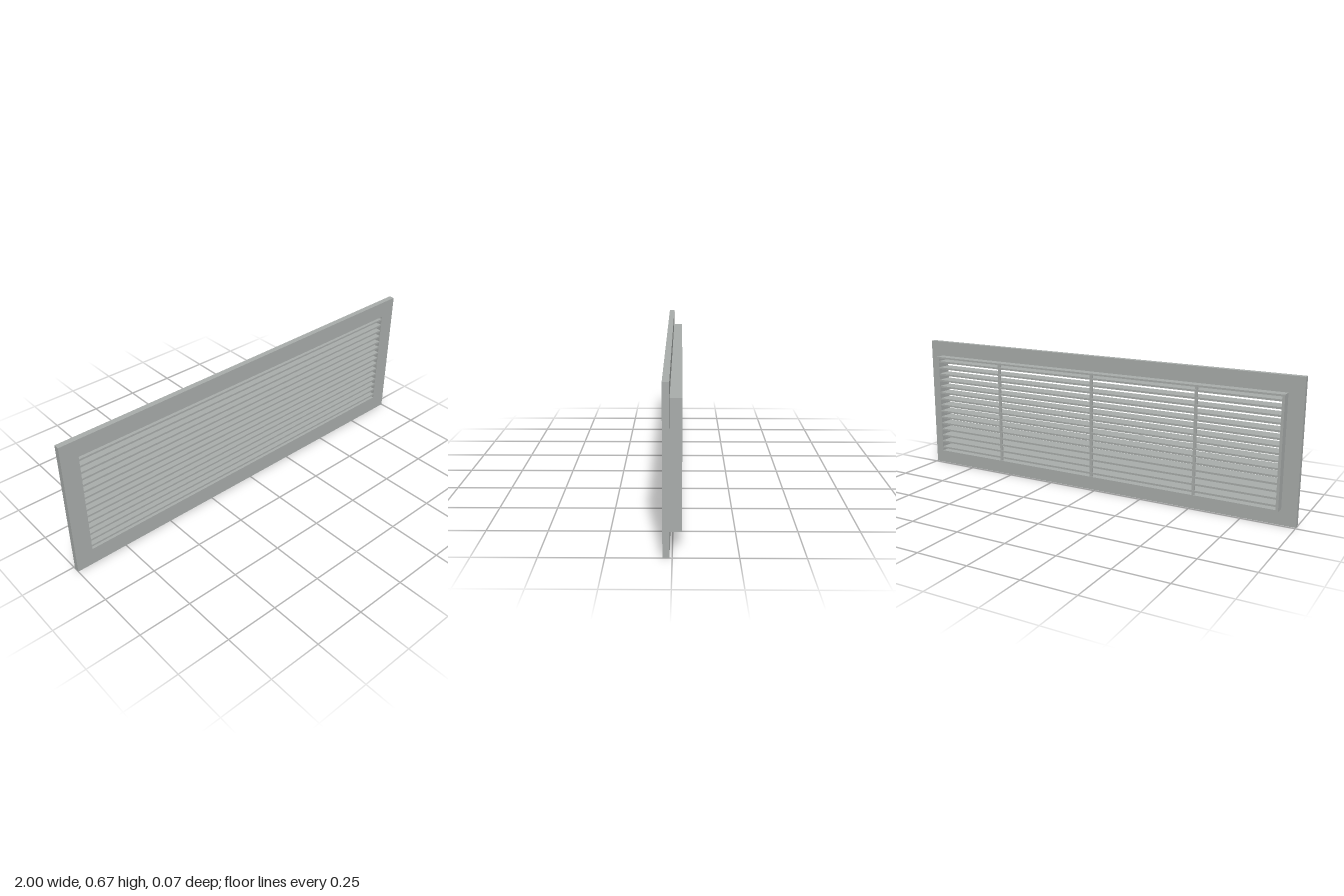
import * as THREE from 'three';

const MID_Y = 0.3335;

// Rectangular ring with an opening, extruded from zBack to zFront
function ring(w, h, openW, openH, zBack, zFront, material, name) {
  const rect = (target, a, b) => {
    target.moveTo(-a / 2, -b / 2);
    target.lineTo(a / 2, -b / 2);
    target.lineTo(a / 2, b / 2);
    target.lineTo(-a / 2, b / 2);
    target.closePath();
    return target;
  };
  const shape = rect(new THREE.Shape(), w, h);
  shape.holes.push(rect(new THREE.Path(), openW, openH));
  const geometry = new THREE.ExtrudeGeometry(shape, { depth: zFront - zBack, bevelEnabled: false });
  geometry.translate(0, MID_Y, zBack);
  const mesh = new THREE.Mesh(geometry, material);
  mesh.name = name;
  return mesh;
}

function bar(w, h, x, y, zBack, zFront, material, name) {
  const mesh = new THREE.Mesh(new THREE.BoxGeometry(w, h, zFront - zBack), material);
  mesh.position.set(x, y, (zBack + zFront) / 2);
  mesh.name = name;
  return mesh;
}

export function createModel() {
  const grille = new THREE.Group();
  grille.name = 'ventGrille';
  const metal = new THREE.MeshStandardMaterial({ color: 0xa9adab });
  metal.name = 'greyMetal';

  const openW = 1.836, openH = 0.502;

  // Wide front flange and the narrower collar behind it
  grille.add(ring(2, 0.667, openW, openH, 0.01, 0.0365, metal, 'frontFrame'));
  grille.add(ring(1.86, 0.519, openW, openH, -0.0365, 0.01, metal, 'rearCollar'));

  // Horizontal blades
  const blades = new THREE.Group();
  blades.name = 'blades';
  for (let i = -7; i <= 7; i++) {
    blades.add(bar(openW, 0.009, 0, MID_Y + i * 0.0333, -0.035, 0.0355, metal, 'blade'));
  }
  grille.add(blades);

  // Upright supports near the back of the blades
  for (const x of [-0.533, 0, 0.533]) {
    grille.add(bar(0.013, openH, x, MID_Y, -0.0335, -0.025, metal, 'support'));
  }
  return grille;
}
